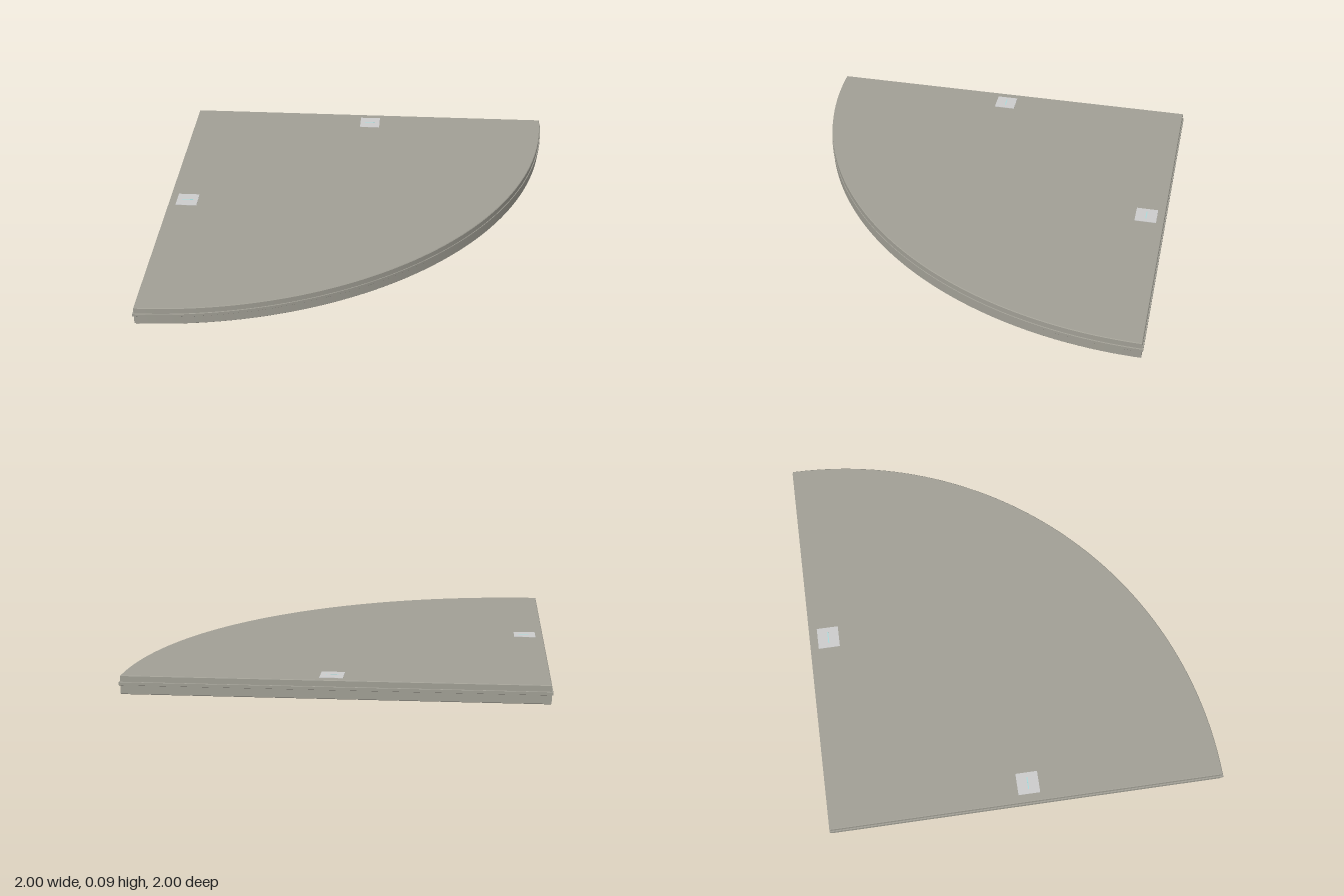
import * as THREE from 'three';
import { toCreasedNormals } from 'three/addons/utils/BufferGeometryUtils.js';

const CORNER = -0.994;
const RADIUS = 1.984;

// Quarter-disc slab between two heights, grown outward by "grow", with a small edge bevel
function quarterSlab(name, y0, y1, grow, bevel, material) {
  const c = CORNER - grow + bevel;
  const r = RADIUS + 2 * grow - 2 * bevel;
  const shape = new THREE.Shape();
  shape.moveTo(c, c);
  shape.lineTo(c + r, c);
  shape.absarc(c, c, r, 0, Math.PI / 2, false);
  shape.lineTo(c, c);
  const geometry = new THREE.ExtrudeGeometry(shape, {
    depth: y1 - y0 - 2 * bevel,
    curveSegments: 64,
    bevelEnabled: true,
    bevelSize: bevel,
    bevelThickness: bevel,
    bevelSegments: 1,
  });
  geometry.rotateX(Math.PI / 2);
  geometry.translate(0, y1 - bevel, 0);
  const mesh = new THREE.Mesh(toCreasedNormals(geometry, 0.4), material);
  mesh.name = name;
  return mesh;
}

export function createModel() {
  const group = new THREE.Group();
  group.name = 'quarterRoundPanel';
  const panelMaterial = new THREE.MeshStandardMaterial({ color: 0xa19f95 });
  const padMaterial = new THREE.MeshStandardMaterial({ color: 0xcccccc });
  const markMaterial = new THREE.MeshStandardMaterial({ color: 0xa8dcdc });

  // Main panel and the thin ridge running around its edge
  group.add(quarterSlab('panel', 0, 0.09, 0, 0.003, panelMaterial));
  group.add(quarterSlab('edgeRidge', 0.044, 0.06, 0.006, 0.001, panelMaterial));

  // Square pads near the middle of each straight edge, each with a thin inlaid line
  for (const [name, x, z] of [['backPad', 0.012, -0.9], ['sidePad', -0.9, 0.012]]) {
    const pad = new THREE.Group();
    pad.name = name;
    pad.position.set(x, 0.09, z);
    const plate = new THREE.Mesh(new THREE.BoxGeometry(0.11, 0.004, 0.11), padMaterial);
    plate.name = 'padPlate';
    const line = new THREE.Mesh(new THREE.BoxGeometry(0.06, 0.001, 0.005), markMaterial);
    line.name = 'padLine';
    line.position.y = 0.0022;
    pad.add(plate, line);
    group.add(pad);
  }
  return group;
}
